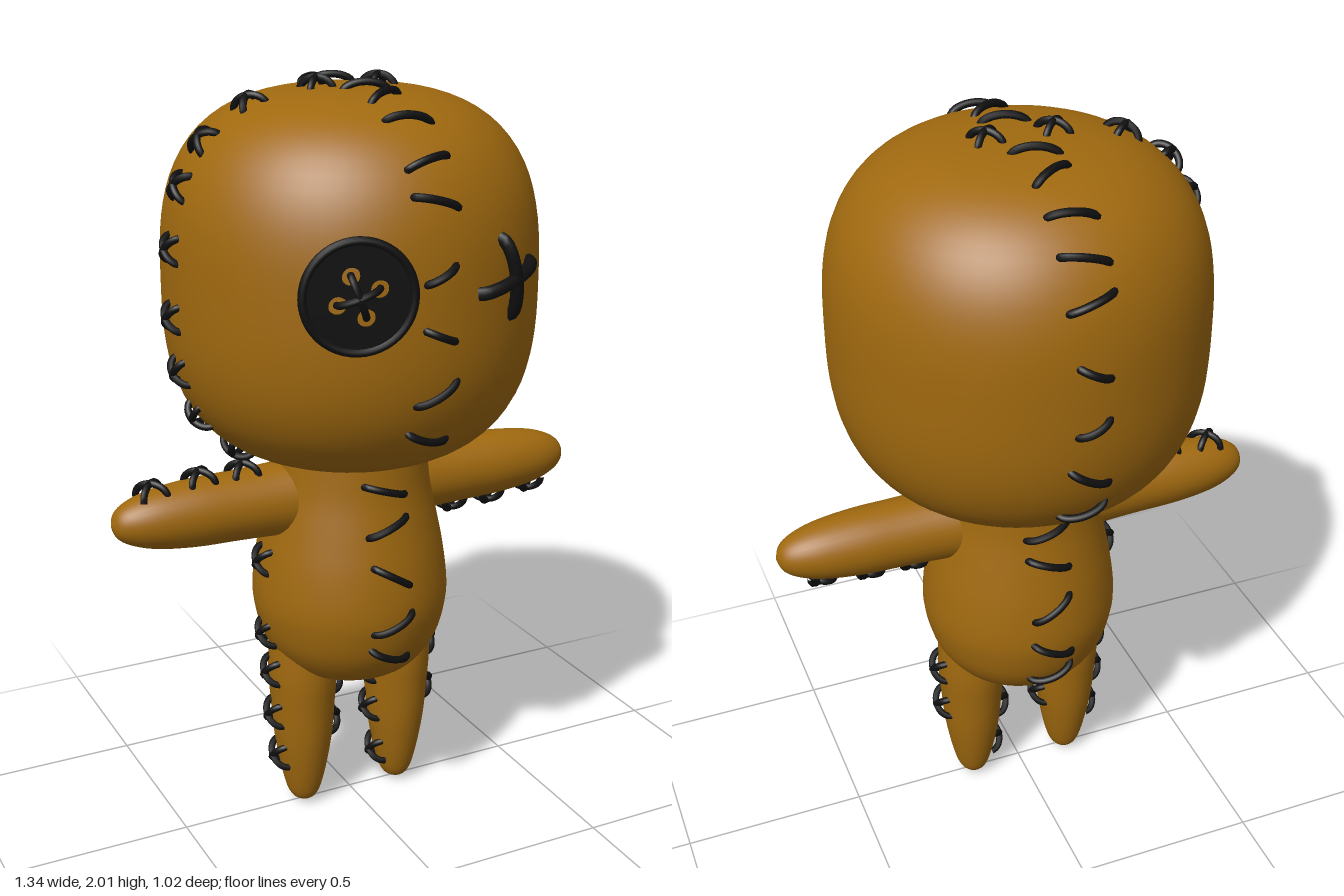
import * as THREE from 'three';

const V = (x, y, z) => new THREE.Vector3(x, y, z);
const cloth = new THREE.MeshStandardMaterial({ name: 'ochre cloth', color: 0xa0690f });
const thread = new THREE.MeshStandardMaterial({ name: 'black thread', color: 0x101010 });

// Head cross-section: a rounded square swept around y
const HEAD = { r: 0.483, h: 0.48, cy: 1.5, n: 2.85 };
const headR = y => HEAD.r * Math.pow(Math.max(0, 1 - Math.pow(Math.abs(y - HEAD.cy) / HEAD.h, HEAD.n)), 1 / HEAD.n);
const headY = r => HEAD.cy + HEAD.h * Math.pow(1 - Math.pow(Math.abs(r) / HEAD.r, HEAD.n), 1 / HEAD.n);
// Outward normal [radial, vertical] at signed radius r and height y
function headNormal(r, y) {
  const k = HEAD.n - 1, s = (y - HEAD.cy) / HEAD.h, q = r / HEAD.r;
  const a = Math.sign(q) * Math.abs(q) ** k / HEAD.r, b = Math.sign(s) * Math.abs(s) ** k / HEAD.h;
  const l = Math.hypot(a, b);
  return [a / l, b / l];
}

const smooth = (pts, n = 40) =>
  new THREE.SplineCurve(pts.map(p => new THREE.Vector2(...p))).getPoints(n).map(p => p.setX(Math.max(0, p.x)));

const TORSO = smooth([[0, 0.385], [0.1, 0.397], [0.18, 0.43], [0.235, 0.5], [0.26, 0.58], [0.266, 0.65],
  [0.255, 0.75], [0.235, 0.85], [0.215, 0.95], [0.205, 1.06]]);
const LEG = smooth([[0, 0], [0.035, 0.02], [0.056, 0.08], [0.077, 0.2], [0.087, 0.32], [0.092, 0.42], [0.085, 0.56]]);
const ARM = smooth([[0.105, 0.12], [0.096, 0.24], [0.092, 0.34], [0.089, 0.45], [0.078, 0.55], [0.06, 0.615], [0.035, 0.655], [0, 0.67]]);

// Radius of a profile at a given height
function radiusAt(profile, y) {
  const i = Math.max(1, profile.findIndex(p => p.y >= y)), a = profile[i - 1], b = profile[i];
  return THREE.MathUtils.mapLinear(y, a.y, b.y, a.x, b.x);
}

function add(parent, name, geometry, material) {
  const mesh = new THREE.Mesh(geometry, material);
  mesh.name = name;
  parent.add(mesh);
  return mesh;
}

// One thread loop bowing out of the surface at p, turned by tilt around normal n
function stitch(parent, name, p, n, u, tilt, half, lift = 0.03, radius = 0.01) {
  const v = n.clone().cross(u);
  const t = u.clone().multiplyScalar(Math.cos(tilt)).addScaledVector(v, Math.sin(tilt));
  const pts = [];
  for (let i = 0; i <= 8; i++) {
    const a = Math.PI * i / 8;
    pts.push(p.clone().addScaledVector(t, -half * Math.cos(a)).addScaledVector(n, Math.sin(a) * lift - 0.014));
  }
  add(parent, name, new THREE.TubeGeometry(new THREE.CatmullRomCurve3(pts), 16, radius, 8), thread);
}
function cross(parent, name, p, n, u) {
  for (const s of [-1, 1]) stitch(parent, name, p, n, u, s * Math.PI / 4, 0.046, 0.036, 0.0095);
}

export function createModel() {
  const doll = new THREE.Group();
  doll.name = 'ragDoll';
  const X = V(1, 0, 0), Z = V(0, 0, 1);

  // Head
  const headPts = [];
  for (let i = 0; i <= 48; i++) {
    const a = -Math.PI / 2 + Math.PI * i / 48, c = Math.max(0, Math.cos(a)), s = Math.sin(a);
    const k = (c ** HEAD.n + Math.abs(s) ** HEAD.n) ** (-1 / HEAD.n);
    headPts.push(new THREE.Vector2(HEAD.r * c * k, HEAD.cy + HEAD.h * s * k));
  }
  add(doll, 'head', new THREE.LatheGeometry(headPts, 64), cloth);

  // Torso, arms and legs
  add(doll, 'torso', new THREE.LatheGeometry(TORSO, 48), cloth);
  for (const [side, s] of [['left', 1], ['right', -1]]) {
    const arm = add(doll, side + 'Arm', new THREE.LatheGeometry(ARM, 32), cloth);
    arm.rotation.z = -s * Math.PI / 2;
    arm.position.y = 0.92;
    const leg = add(doll, side + 'Leg', new THREE.LatheGeometry(LEG, 32), cloth);
    leg.scale.z = 1.15;
    leg.position.x = s * 0.145;
  }

  // Centre seam running over the head and round the torso, front and back
  const seam = new THREE.Group();
  seam.name = 'centreSeam';
  doll.add(seam);
  for (const s of [1, -1]) {
    [[1.845, 0.25], [1.76, -0.28], [1.595, 0.46], [1.45, -0.4], [1.305, 0.49], [1.185, -0.3]].forEach(([y, tilt], i) => {
      const r = headR(y), [a, b] = headNormal(r, y);
      stitch(seam, 'headStitch', V(0, y, s * r), V(0, b, s * a), X, s * tilt, i === 2 || i === 3 ? 0.045 : 0.06);
    });
    [[0.975, -0.3], [0.88, 0.35], [0.75, -0.55], [0.62, 0.4], [0.525, -0.35]].forEach(([y, tilt]) => {
      const slope = (radiusAt(TORSO, y + 0.02) - radiusAt(TORSO, y - 0.02)) / 0.04;
      stitch(seam, 'torsoStitch', V(0, y, s * radiusAt(TORSO, y)), V(0, -slope, s).normalize(), X, s * tilt, 0.06, 0.034);
    });
  }
  [[-0.33, -0.15], [-0.21, 0.5], [-0.11, -0.3], [0.09, -0.28], [0.19, 0.5], [0.31, -0.15]].forEach(([z, tilt]) => {
    const y = headY(z), [a, b] = headNormal(z, y);
    stitch(seam, 'crownStitch', V(0, y, z), V(0, b, a), X, tilt, 0.06);
  });

  // Cross stitches up the right side of the head and over the crown
  const side = new THREE.Group();
  side.name = 'sideSeam';
  doll.add(side);
  const headSpots = [1.08, 1.18, 1.3, 1.44, 1.61, 1.76].map(y => [-headR(y), y])
    .concat([-0.39, -0.27, -0.09, 0.08].map(x => [x, headY(x)]));
  for (const [x, y] of headSpots) {
    const [a, b] = headNormal(x, y);
    cross(side, 'headCross', V(x, y, 0), V(a, b, 0), Z);
  }

  // Cross stitches on the torso, arms and legs
  for (const y of [0.75, 0.54]) cross(side, 'torsoCross', V(-radiusAt(TORSO, y), y, 0), V(-1, 0, 0), Z);
  for (const d of [0.31, 0.43, 0.56]) {
    const r = radiusAt(ARM, d);
    cross(side, 'rightArmCross', V(-d, 0.92 + r, 0), V(-0.1, 1, 0).normalize(), Z);
    cross(side, 'leftArmCross', V(d, 0.92 - r, 0), V(0.1, -1, 0).normalize(), Z);
  }
  const legRows = [
    ['rightLegOuterCross', -1, -1, [0.42, 0.29, 0.16]], ['rightLegInnerCross', -1, 1, [0.365, 0.24]],
    ['leftLegOuterCross', 1, 1, [0.42, 0.285]], ['leftLegInnerCross', 1, -1, [0.365, 0.245, 0.105]],
  ];
  for (const [name, leg, face, ys] of legRows)
    for (const y of ys) cross(side, name, V(leg * 0.145 + face * radiusAt(LEG, y), y, 0), V(face, 0, 0), Z);

  // Button eye with four holes, a raised rim and loose thread
  const button = new THREE.Group();
  button.name = 'buttonEye';
  const disc = new THREE.Shape().absarc(0, 0, 0.135, 0, Math.PI * 2);
  const holes = [0, 1, 2, 3].map(i => {
    const a = 0.35 + i * Math.PI / 2;
    return [0.052 * Math.cos(a), 0.052 * Math.sin(a)];
  });
  for (const [x, y] of holes) disc.holes.push(new THREE.Path().absarc(x, y, 0.022, 0, Math.PI * 2, true));
  add(button, 'buttonDisc', new THREE.ExtrudeGeometry(disc, { depth: 0.014, bevelEnabled: false, curveSegments: 24 }), thread);
  add(button, 'buttonRim', new THREE.TorusGeometry(0.13, 0.011, 10, 48), thread).position.z = 0.008;
  for (const tilt of [0.35, 0.35 + Math.PI / 2])
    stitch(button, 'buttonThread', V(0, 0, 0.014), Z, X, tilt, 0.054, 0.03, 0.009);
  button.position.set(-0.2, 1.56, 0.449);
  button.rotation.y = -0.31;
  doll.add(button);

  // Stitched cross eye
  const crossEye = new THREE.Group();
  crossEye.name = 'crossEye';
  const n = V(0.206, 0, 0.437).normalize(), u = V(n.z, 0, -n.x);
  const at = V(0.206, 1.56, 0.437);
  stitch(crossEye, 'crossEyeLong', at, n, u, -1.37, 0.1, 0.038, 0.017);
  stitch(crossEye, 'crossEyeShort', at, n, u, 0.22, 0.105, 0.038, 0.017);
  doll.add(crossEye);

  return doll;
}
